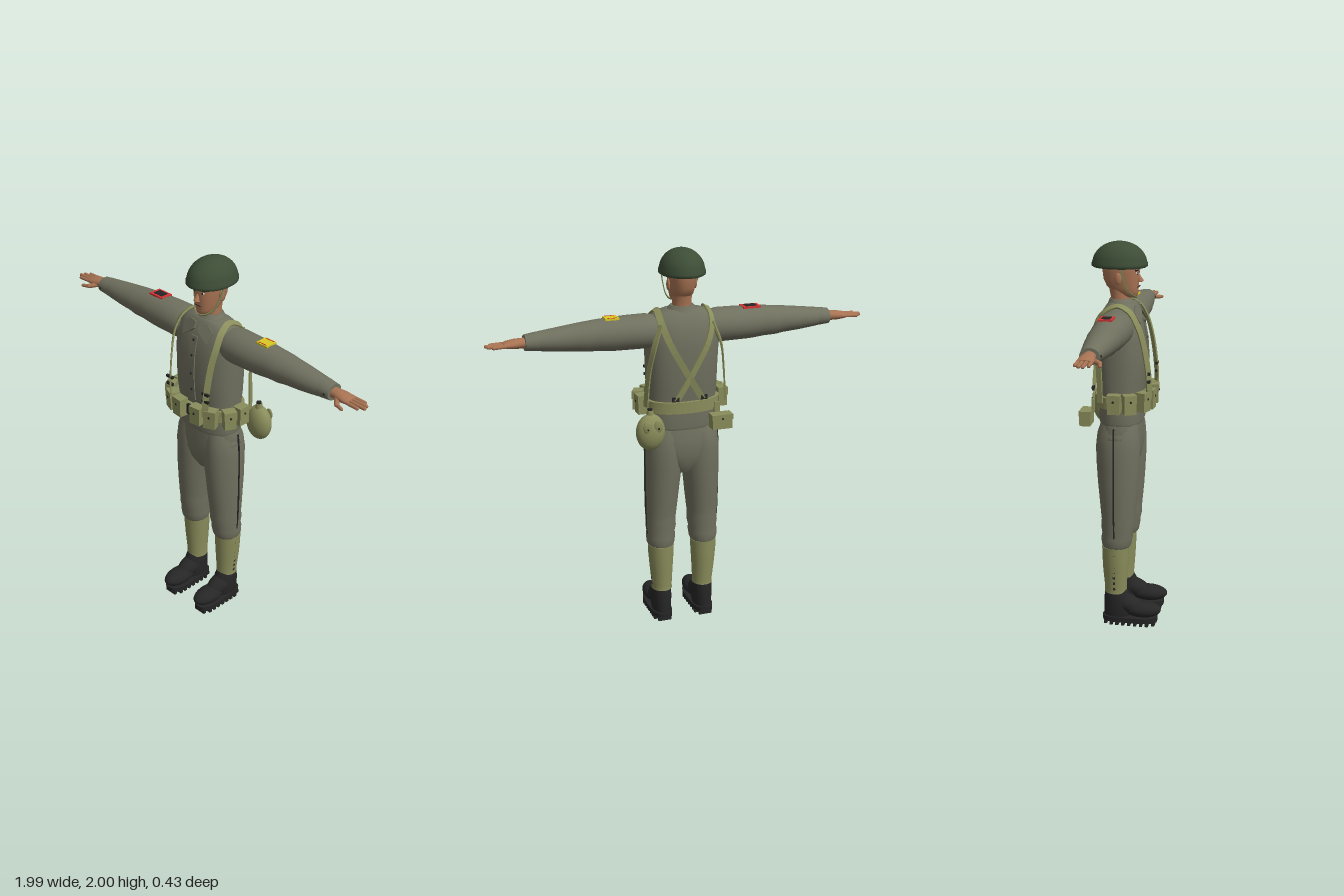
import * as THREE from 'three';

const mat = (name, color, side = THREE.FrontSide) => {
  const m = new THREE.MeshStandardMaterial({ color, side });
  m.name = name;
  return m;
};
const V = (x, y, z) => new THREE.Vector3(x, y, z);

// Skin a list of closed rings and cap both ends
function skin(rings, flat = false) {
  const n = rings[0].length, pos = [], idx = [];
  const push = p => pos.push(p.x, p.y, p.z) / 3 - 1;
  rings.forEach(r => r.forEach(push));
  for (let i = 0; i < rings.length - 1; i++) for (let j = 0; j < n; j++) {
    const a = i * n + j, b = i * n + (j + 1) % n, c = a + n, d = b + n;
    idx.push(a, c, b, b, c, d);
  }
  [rings[0], rings[rings.length - 1]].forEach((r, top) => {
    const mid = push(r.reduce((s, p) => s.add(p), V(0, 0, 0)).divideScalar(n));
    const s = r.map(push);
    for (let j = 0; j < n; j++) {
      const k = (j + 1) % n;
      idx.push(mid, s[top ? k : j], s[top ? j : k]);
    }
  });
  let g = new THREE.BufferGeometry();
  g.setAttribute('position', new THREE.Float32BufferAttribute(pos, 3));
  g.setIndex(idx);
  if (flat) g = g.toNonIndexed();
  g.computeVertexNormals();
  return g;
}

// Vertical loft of superellipses: each section is [y, cx, cz, rx, rz]
function loft(sections, e = 2, n = 28) {
  const pw = v => Math.sign(v) * Math.abs(v) ** (2 / e);
  return skin(sections.map(([y, cx, cz, rx, rz]) => Array.from({ length: n }, (_, j) => {
    const a = j / n * Math.PI * 2;
    return V(cx + rx * pw(Math.cos(a)), y, cz + rz * pw(Math.sin(a)));
  })));
}

// Flat strap following points, facing away from the body centre
function strapGeo(points, w, t = 0.008, centre = V(0, 1.42, -0.01)) {
  const c = new THREE.CatmullRomCurve3(points.map(p => V(...p)));
  const N = points.length * 5;
  return skin(Array.from({ length: N + 1 }, (_, i) => {
    const p = c.getPoint(i / N), tan = c.getTangent(i / N);
    const out = p.clone().sub(centre);
    out.addScaledVector(tan, -out.dot(tan)).normalize();
    const side = tan.clone().cross(out);
    return [[1, 1], [-1, 1], [-1, -1], [1, -1]].map(([a, b]) =>
      p.clone().addScaledVector(side, a * w / 2).addScaledVector(out, b * t / 2));
  }), true);
}

export function createModel() {
  const model = new THREE.Group();
  const cloth = mat('grey olive cloth', 0x70705f), web = mat('webbing', 0x8a8d5b),
    steel = mat('helmet green', 0x3d4d36, THREE.DoubleSide), skinM = mat('skin', 0xa87353),
    black = mat('black leather', 0x262627), red = mat('patch red', 0xd23434),
    yellow = mat('patch yellow', 0xd9c923), white = mat('eye white', 0xd8d0c4), lip = mat('lips', 0x7d4a3c);
  const add = (name, geo, m, x = 0, y = 0, z = 0, parent = model) => {
    const o = new THREE.Mesh(geo, m);
    o.name = name;
    o.position.set(x, y, z);
    parent.add(o);
    return o;
  };
  const box = (w, h, d) => new THREE.BoxGeometry(w, h, d);
  const ball = (rx, ry, rz) => new THREE.SphereGeometry(1, 28, 18).scale(rx, ry, rz);
  const rod = (a, b, r) => {
    const d = V(...b).sub(V(...a)), g = new THREE.CapsuleGeometry(r, d.length(), 5, 10);
    g.applyQuaternion(new THREE.Quaternion().setFromUnitVectors(V(0, 1, 0), d.clone().normalize()));
    return g.translate(...V(...a).addScaledVector(d, 0.5).toArray());
  };

  // Jacket and hips
  add('jacket', loft([[1.085, 0, -0.01, 0.172, 0.108], [1.1, 0, -0.01, 0.178, 0.113], [1.16, 0, -0.01, 0.178, 0.112],
    [1.22, 0, -0.01, 0.176, 0.112], [1.3, 0, -0.01, 0.182, 0.124], [1.4, 0, -0.01, 0.185, 0.13],
    [1.52, 0, -0.014, 0.19, 0.129], [1.6, 0, -0.015, 0.188, 0.115], [1.65, 0, -0.015, 0.175, 0.095],
    [1.685, 0, -0.012, 0.138, 0.074], [1.698, 0, -0.012, 0.08, 0.06]], 2.4, 40), cloth);
  add('hips', loft([[0.84, 0, -0.015, 0.05, 0.07], [0.89, 0, -0.015, 0.11, 0.1], [0.95, 0, -0.015, 0.165, 0.112],
    [1.02, 0, -0.015, 0.192, 0.115], [1.09, 0, -0.01, 0.176, 0.106]], 2.3), cloth);
  add('collar', loft([[1.665, 0, -0.015, 0.1, 0.085], [1.69, 0, -0.015, 0.08, 0.068], [1.715, 0, -0.02, 0.06, 0.054]]), cloth);
  add('frontPlacket', strapGeo([[0, 1.27, 0.113], [0, 1.4, 0.121], [0, 1.52, 0.116], [0, 1.62, 0.096]], 0.04, 0.007), cloth);
  [[1.6, 0.104], [1.52, 0.119], [1.42, 0.124], [1.33, 0.121]].forEach(([y, z]) =>
    add('button', ball(0.007, 0.007, 0.004), black, 0, y, z));

  // Head, neck and face
  add('neck', loft([[1.66, 0, -0.022, 0.056, 0.05], [1.71, 0, -0.02, 0.048, 0.046], [1.78, 0, -0.025, 0.05, 0.055]]), skinM);
  add('head', loft([[1.722, 0, 0.035, 0.02, 0.022], [1.732, 0, 0.025, 0.038, 0.042], [1.75, 0, 0.008, 0.05, 0.062],
    [1.775, 0, -0.008, 0.058, 0.08], [1.81, 0, -0.015, 0.064, 0.09], [1.85, 0, -0.017, 0.068, 0.093],
    [1.89, 0, -0.02, 0.07, 0.096], [1.94, 0, -0.02, 0.055, 0.08]], 2.2, 32), skinM);
  const nose = add('nose', new THREE.ConeGeometry(0.017, 0.05, 8), skinM, 0, 1.825, 0.076);
  nose.rotation.x = -0.25;
  add('noseTip', ball(0.011, 0.009, 0.014), skinM, 0, 1.807, 0.083);
  add('mouth', ball(0.023, 0.006, 0.006), lip, 0, 1.776, 0.07);
  add('mouthLine', box(0.038, 0.003, 0.006), black, 0, 1.777, 0.0745);
  add('chin', ball(0.024, 0.017, 0.018), skinM, 0, 1.745, 0.052);

  // Helmet with rolled rim
  const dome = [[0.93, 1.872], [1, 1.878], [1, 1.89]];
  for (let i = 1; i <= 12; i++) {
    const a = i / 12 * Math.PI / 2;
    dome.push([0.97 * Math.cos(a), 1.89 + 0.11 * Math.sin(a)]);
  }
  add('helmet', new THREE.LatheGeometry(dome.map(p => new THREE.Vector2(Math.max(p[0], 0.0001), p[1])), 40)
    .scale(0.115, 1, 0.142), steel, 0, 0, -0.024);

  // Belt, buckle and rear pouch
  add('belt', loft([[1.18, 0, -0.01, 0.196, 0.132], [1.24, 0, -0.01, 0.196, 0.132]], 2.3, 40), web);
  add('beltBuckle', box(0.046, 0.055, 0.014), black, 0, 1.212, 0.127);
  add('rearPouch', box(0.105, 0.07, 0.055), web, -0.16, 1.13, -0.165);
  add('rearPouchFlap', box(0.112, 0.026, 0.062), web, -0.16, 1.158, -0.165);
  add('rearPouchStud', ball(0.005, 0.005, 0.004), black, -0.16, 1.15, -0.197);
  add('rearPouchHanger', box(0.03, 0.07, 0.01), web, -0.15, 1.19, -0.133);

  // Canteen
  add('canteen', ball(0.075, 0.095, 0.052), web, 0.21, 1.11, -0.153);
  add('canteenSpout', new THREE.CylinderGeometry(0.016, 0.02, 0.03, 16), web, 0.21, 1.208, -0.15);
  add('canteenCap', new THREE.CylinderGeometry(0.013, 0.013, 0.012, 12), black, 0.21, 1.225, -0.15);
  [-1, 1].forEach(s => {
    add('canteenFlap', ball(0.022, 0.032, 0.008), web, 0.21 + s * 0.028, 1.15, -0.197);
    add('canteenStud', ball(0.005, 0.005, 0.004), black, 0.21 + s * 0.028, 1.14, -0.206);
  });

  for (const s of [1, -1]) {
    // Sleeve lofted outward along x: [x, height, radiusY, radiusZ]
    const along = (secs, e) => loft(secs.map(([x, y, ry, rz, z = -0.014]) => [x, -s * y, z, ry, rz]), e)
      .rotateZ(-s * Math.PI / 2);
    add('sleeve', along([[0.14, 1.592, 0.08, 0.085], [0.19, 1.594, 0.087, 0.094], [0.28, 1.594, 0.086, 0.092],
      [0.36, 1.593, 0.084, 0.088], [0.44, 1.594, 0.078, 0.08], [0.5, 1.592, 0.074, 0.08], [0.54, 1.593, 0.069, 0.073],
      [0.62, 1.591, 0.061, 0.068], [0.7, 1.59, 0.052, 0.058], [0.745, 1.59, 0.046, 0.052]]), cloth);
    add('cuff', along([[0.735, 1.59, 0.047, 0.054], [0.75, 1.59, 0.046, 0.052], [0.8, 1.588, 0.04, 0.047]]), cloth);
    add('cuffButton', ball(0.006, 0.006, 0.004), black, s * 0.78, 1.588, 0.036);

    // Hand
    add('palm', along([[0.78, 1.588, 0.026, 0.032], [0.82, 1.588, 0.025, 0.031], [0.85, 1.587, 0.024, 0.038],
      [0.89, 1.586, 0.017, 0.04], [0.905, 1.585, 0.011, 0.036]]), skinM);
    [[0.96, 0.016], [0.985, -0.005], [0.978, -0.025], [0.955, -0.044]].forEach(([x, z]) =>
      add('finger', rod([s * 0.885, 1.586, z], [s * x, 1.583, z * 1.05], 0.0088), skinM));
    add('thumb', rod([s * 0.835, 1.58, 0.01], [s * 0.865, 1.574, 0.045], 0.012), skinM);
    add('thumbTip', rod([s * 0.865, 1.574, 0.045], [s * 0.9, 1.57, 0.054], 0.009), skinM);

    // Shoulder patch
    add('patch', box(s > 0 ? 0.07 : 0.094, 0.009, 0.068), s > 0 ? yellow : red, s * 0.367, 1.6755, -0.02);
    if (s < 0) add('patchEmblem', box(0.058, 0.004, 0.042), black, -0.367, 1.681, -0.02);
    else [-1, 1].forEach(k => add('patchStripe', box(0.05, 0.003, 0.004), red, 0.367, 1.6805, -0.02 + k * 0.026));

    // Lapel
    const lap = new THREE.Shape([[0.008, 0.085], [0.06, 0.092], [0.102, 0.06], [0.085, 0], [0.045, 0.022], [0.012, 0.05]]
      .map(p => new THREE.Vector2(s * p[0], p[1])));
    const lapel = add('lapel', new THREE.ExtrudeGeometry(lap, { depth: 0.01, bevelEnabled: false }), cloth, 0, 1.605, 0.105);
    lapel.rotation.set(-0.42, s * 0.2, 0);

    // Eyes, brows, ears and chin strap
    add('eyeWhite', ball(0.011, 0.006, 0.005), white, s * 0.028, 1.845, 0.067);
    add('pupil', ball(0.006, 0.006, 0.004), black, s * 0.028, 1.845, 0.07);
    add('brow', box(0.03, 0.006, 0.008), black, s * 0.029, 1.86, 0.069).rotation.y = s * 0.3;
    add('ear', ball(0.009, 0.03, 0.017), skinM, s * 0.07, 1.82, -0.02);
    add('chinStrap', strapGeo([[s * 0.102, 1.885, -0.005], [s * 0.088, 1.82, 0.01], [s * 0.066, 1.76, 0.03],
      [s * 0.035, 1.73, 0.055], [0, 1.722, 0.062]], 0.01, 0.005, V(0, 1.8, 0)), web);

    // Braces: over the shoulder and crossing on the back, plus a side strap
    add('brace', strapGeo([[s * 0.12, 1.23, 0.148], [s * 0.127, 1.33, 0.146], [s * 0.137, 1.5, 0.122],
      [s * 0.145, 1.6, 0.092], [s * 0.14, 1.668, 0.05], [s * 0.13, 1.695, -0.012], [s * 0.132, 1.655, -0.09],
      [s * 0.105, 1.56, -0.138], [s * 0.02, 1.4, -0.15], [s * -0.07, 1.25, -0.146]], 0.032), web);
    add('sideStrap', strapGeo([[s * 0.138, 1.64, -0.1], [s * 0.175, 1.53, -0.115], [s * 0.198, 1.4, -0.095],
      [s * 0.212, 1.22, -0.085]], 0.03), web);
    [1.32, 1.36].forEach(y => add('braceBuckle', box(0.044, 0.013, 0.012), black, s * 0.127, y, 0.148));
    add('rearBuckle', box(0.036, 0.022, 0.01), black, s * 0.075, 1.262, -0.147);

    // Ammunition pouches around the belt: [x, z, turn]
    [[0.062, 0.143, 0.1], [0.137, 0.122, 0.4], [0.208, 0.062, 1.1], [0.216, -0.015, 1.57]].forEach(([x, z, turn]) => {
      const p = new THREE.Group();
      p.name = 'ammoPouch';
      p.position.set(s * x, 1.215, z);
      p.rotation.y = s * turn;
      model.add(p);
      add('pouchBody', box(0.062, 0.094, 0.046), web, 0, 0, 0, p);
      add('pouchFlap', box(0.066, 0.04, 0.052), web, 0, 0.031, 0, p);
      add('pouchStud', ball(0.006, 0.006, 0.004), black, 0, 0.018, 0.027, p);
    });

    // Trouser leg with knee folds: [y, cx, cz, rx, rz]
    const leg = secs => secs.map(([y, cx, ...r]) => [y, s * cx, ...r]);
    add('trouserLeg', loft(leg([[0.43, 0.118, -0.022, 0.066, 0.07], [0.445, 0.118, -0.02, 0.073, 0.077],
      [0.48, 0.117, -0.018, 0.077, 0.082], [0.505, 0.116, -0.015, 0.074, 0.08], [0.54, 0.115, -0.014, 0.08, 0.087],
      [0.58, 0.115, -0.012, 0.078, 0.086], [0.62, 0.114, -0.012, 0.082, 0.09], [0.7, 0.11, -0.012, 0.087, 0.098],
      [0.78, 0.107, -0.013, 0.092, 0.105], [0.88, 0.1, -0.014, 0.098, 0.112], [0.97, 0.098, -0.015, 0.1, 0.114],
      [1.04, 0.095, -0.014, 0.093, 0.108], [1.09, 0.09, -0.01, 0.08, 0.095]])), cloth);
    add('legSeam', strapGeo([[s * 0.184, 0.44, -0.022], [s * 0.196, 0.6, -0.022], [s * 0.199, 0.8, -0.022],
      [s * 0.199, 0.97, -0.022], [s * 0.189, 1.08, -0.022]], 0.007, 0.006, V(0, 0.75, -0.022)), black);

    // Gaiter with side fasteners
    add('gaiter', loft(leg([[0.175, 0.114, -0.025, 0.054, 0.058], [0.2, 0.114, -0.025, 0.053, 0.057],
      [0.3, 0.117, -0.026, 0.061, 0.065], [0.38, 0.118, -0.026, 0.067, 0.069], [0.432, 0.118, -0.026, 0.069, 0.07]])), web);
    for (let i = 0; i < 7; i++)
      add('gaiterFastener', box(0.005, 0.012, 0.012), black, s * (0.167 + i * 0.0026), 0.205 + i * 0.032, -0.025);

    // Boot, sole and tread
    add('bootAnkle', loft(leg([[0.045, 0.115, -0.015, 0.048, 0.072], [0.08, 0.115, -0.01, 0.053, 0.078],
      [0.13, 0.115, -0.012, 0.054, 0.075], [0.165, 0.115, -0.02, 0.051, 0.064], [0.192, 0.115, -0.024, 0.046, 0.054]])), black);
    add('bootInstep', ball(0.051, 0.05, 0.1), black, s * 0.115, 0.112, 0.03).rotation.x = 0.35;
    add('bootToe', ball(0.057, 0.043, 0.1), black, s * 0.115, 0.082, 0.115);
    const sole = loft([[0.018, 0, 0, 0.056, 0.144], [0.046, 0, 0, 0.058, 0.146]], 3);
    add('sole', sole, black, s * 0.115, 0, 0.052);
    for (let i = 0; i < 9; i++)
      add('tread', box(i % 8 ? 0.1 : 0.07, 0.02, 0.016), black, s * 0.115, 0.01, -0.075 + i * 0.0315);
  }
  return model;
}
